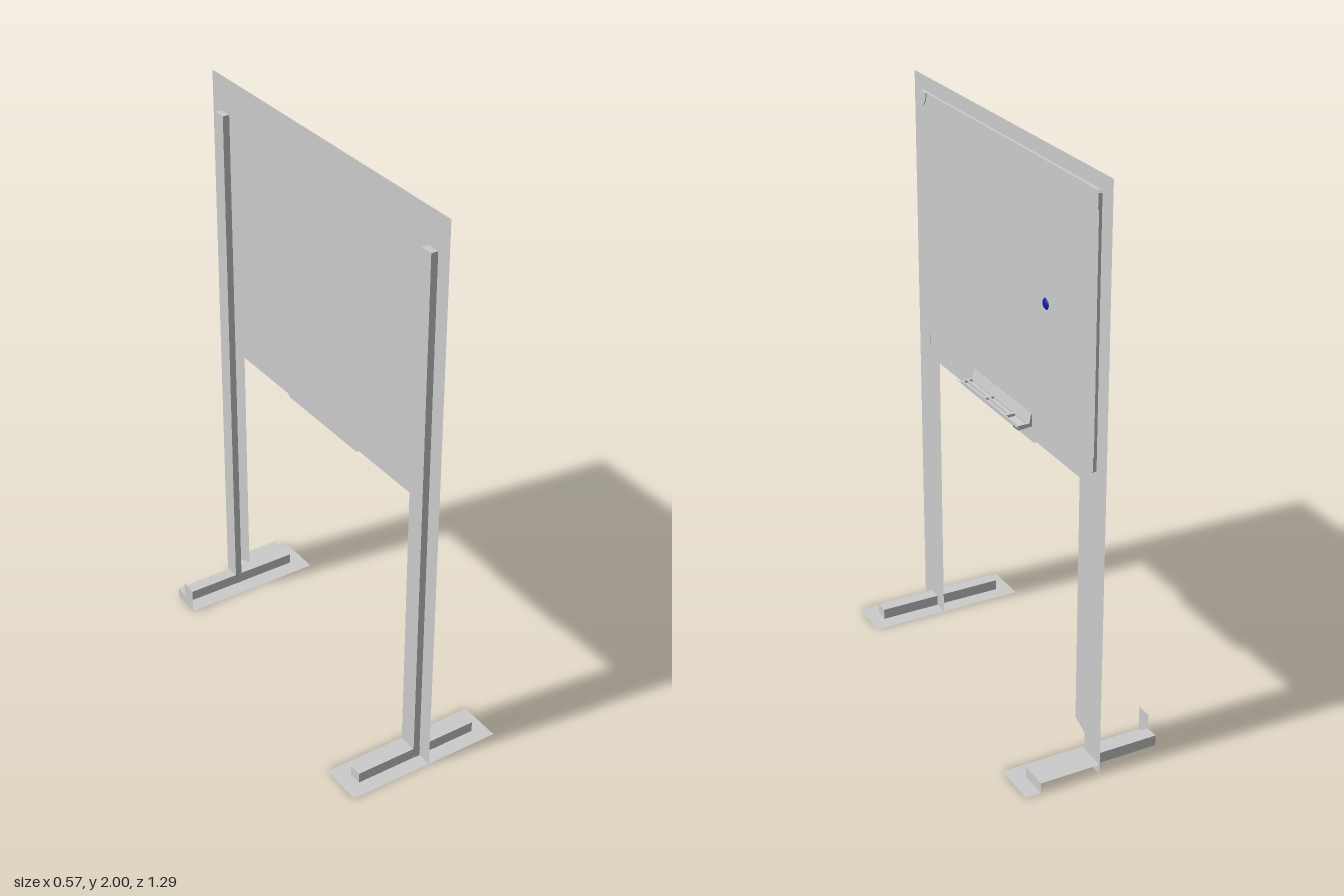
import * as THREE from 'three';

const grey = new THREE.MeshStandardMaterial({ color: 0xcccccc, flatShading: true, side: THREE.DoubleSide });
const blue = new THREE.MeshStandardMaterial({ color: 0x1020a0 });

export function createModel() {
  const root = new THREE.Group();

  const add = (name, geometry, material = grey) => {
    const mesh = new THREE.Mesh(geometry, material);
    mesh.name = name;
    root.add(mesh);
    return mesh;
  };
  // Box given by its minimum and maximum corners
  const box = (name, x0, x1, y0, y1, z0, z1) =>
    add(name, new THREE.BoxGeometry(x1 - x0, y1 - y0, z1 - z0)
      .translate((x0 + x1) / 2, (y0 + y1) / 2, (z0 + z1) / 2));
  const shapeOf = (pts) => new THREE.Shape(pts.map(([a, b]) => new THREE.Vector2(a, b)));
  // Upright sheet facing +x, drawn with points (-z, y)
  const upright = (name, x, pts) =>
    add(name, new THREE.ShapeGeometry(shapeOf(pts)).rotateY(Math.PI / 2).translate(x, 0, 0));
  // Level sheet facing up, drawn with points (x, -z)
  const level = (name, y, pts) =>
    add(name, new THREE.ShapeGeometry(shapeOf(pts)).rotateX(-Math.PI / 2).translate(0, y, 0));

  // Thin backing sheet with two legs, a bottom tab and a notch at one foot
  upright('backingSheet', 0.014, [
    [-0.645, 0], [-0.49, 0], [-0.49, 1], [-0.21, 1], [-0.2, 0.99], [0.2, 0.99], [0.21, 1],
    [0.49, 1], [0.49, 0.125], [0.55, 0.1], [0.55, 0], [0.65, 0], [0.65, 2], [-0.645, 2],
  ]);

  // Posts behind the sheet
  for (const side of [-1, 1]) {
    const z = side * 0.57;
    box('post', -0.012, 0.012, 0, 1.88, z - 0.023, z + 0.023);
  }

  // Raised board with rounded corners
  const w = 0.59, b = 1.06, t = 1.95, r = 0.015;
  const outline = new THREE.Shape();
  outline.absarc(w - r, b + r, r, -Math.PI / 2, 0);
  outline.absarc(w - r, t - r, r, 0, Math.PI / 2);
  outline.absarc(-w + r, t - r, r, Math.PI / 2, Math.PI);
  outline.absarc(-w + r, b + r, r, Math.PI, Math.PI * 1.5);
  add('board', new THREE.ExtrudeGeometry(outline, { depth: 0.01, bevelEnabled: false, curveSegments: 5 })
    .rotateY(Math.PI / 2).translate(0.014, 0, 0));

  // Quarter-round corner caps
  [[w, t, Math.PI], [-w, t, Math.PI * 1.5], [-w, b, 0], [w, b, Math.PI / 2]].forEach(([u, v, a]) => {
    const cap = new THREE.Shape();
    cap.moveTo(0.008, 0);
    cap.lineTo(0.055, 0);
    cap.absarc(0, 0, 0.055, 0, Math.PI / 2);
    cap.lineTo(0, 0.008);
    add('cornerCap', new THREE.ExtrudeGeometry(cap, { depth: 0.013, bevelEnabled: false, curveSegments: 6 })
      .rotateZ(a).translate(u, v, 0).rotateY(Math.PI / 2).translate(0.014, 0, 0));
  });

  // Blue magnet
  add('magnet', new THREE.SphereGeometry(0.019, 16, 10).scale(0.4, 1, 1).translate(0.023, 1.5, -0.285), blue);

  // Tray: bent profile swept along z
  const profile = shapeOf([
    [0.024, 1.052], [0.072, 1.048], [0.092, 1.067], [0.09, 1.07], [0.071, 1.053],
    [0.034, 1.056], [0.027, 1.095], [0.024, 1.095],
  ]);
  add('tray', new THREE.ExtrudeGeometry(profile, { depth: 0.4, bevelEnabled: false }).translate(0, 0, -0.2));

  // Tray insert with one wide pocket and two pairs of pen slots
  const insert = shapeOf([[0.033, -0.2], [0.073, -0.2], [0.073, 0.2], [0.033, 0.2]]);
  const pocket = (x0, x1, z0, z1) =>
    insert.holes.push(shapeOf([[x0, -z1], [x0, -z0], [x1, -z0], [x1, -z1]]));
  pocket(0.037, 0.069, -0.19, -0.112);
  for (const [z0, z1] of [[-0.098, 0.036], [0.052, 0.19]]) {
    pocket(0.037, 0.05, z0, z1);
    pocket(0.056, 0.069, z0, z1);
  }
  add('trayInsert', new THREE.ExtrudeGeometry(insert, { depth: 0.01, bevelEnabled: false })
    .rotateX(-Math.PI / 2).translate(0, 1.054, 0));

  // Foot and floor sheet at the +z end
  box('foot', -0.23, 0.23, 0, 0.038, 0.545, 0.592);
  level('floorSheet', 0, [[-0.285, -0.645], [0.282, -0.645], [0.282, -0.49], [-0.285, -0.49]]);

  // Foot at the -z end: a narrow bar on one half, a wide open cover on the other
  box('foot', -0.23, 0.014, 0, 0.038, -0.595, -0.548);
  level('footCoverTop', 0.038, [[0.014, 0.548], [0.228, 0.548], [0.228, 0.65], [0.014, 0.65]]);
  upright('footCoverEnd', 0.228, [[0.548, 0], [0.65, 0], [0.65, 0.038], [0.548, 0.038]]);
  add('footCoverSide', new THREE.PlaneGeometry(0.214, 0.038).translate(0.121, 0.019, -0.548));
  level('floorSheet', 0, [
    [-0.23, 0.49], [0.282, 0.49], [0.282, 0.65], [0.228, 0.65], [0.228, 0.548], [-0.23, 0.548],
  ]);
  upright('endFlap', -0.23, [[0.49, 0], [0.548, 0], [0.548, 0.09], [0.49, 0.09]]);

  return root;
}
